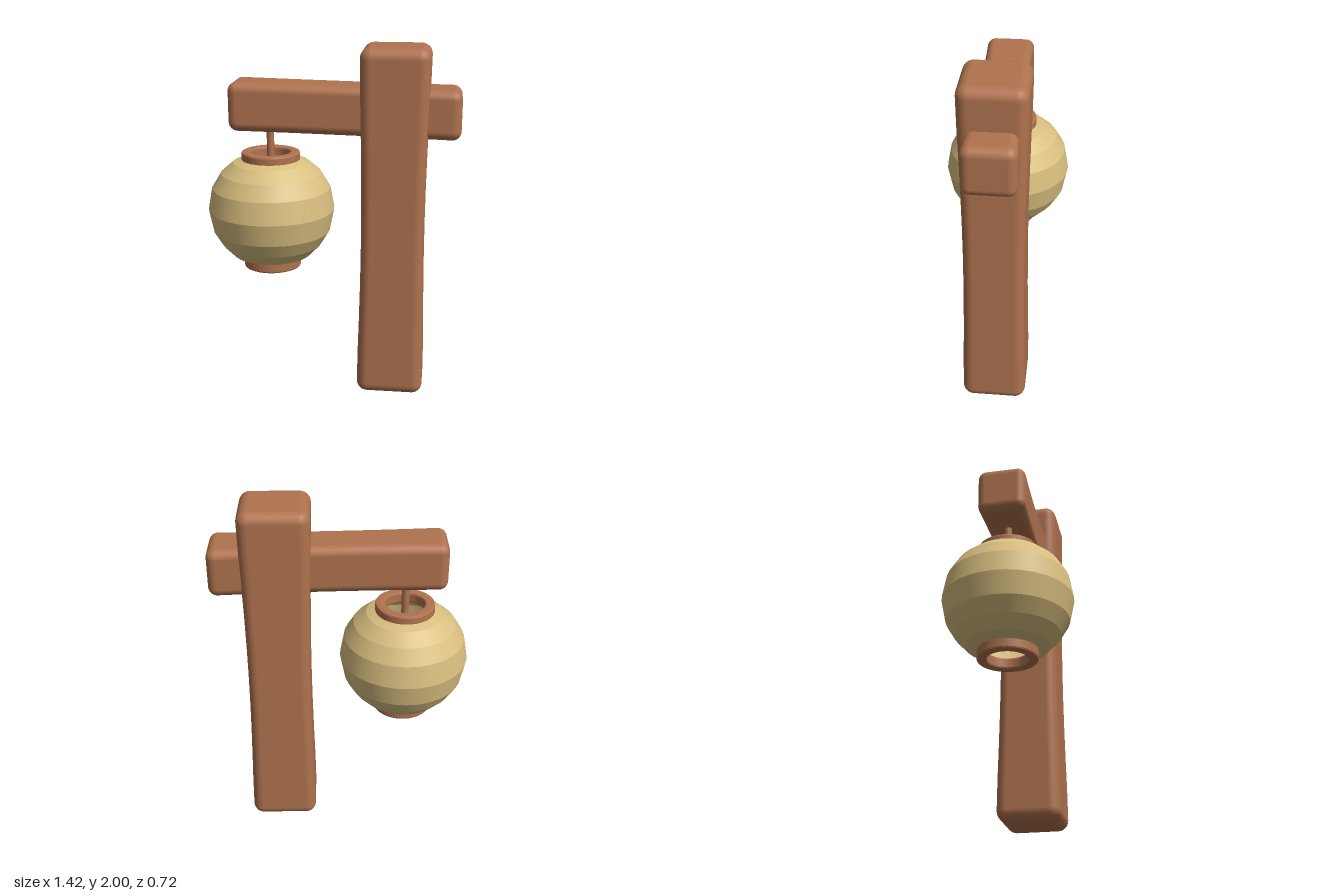
import * as THREE from 'three';
import { mergeGeometries } from 'three/addons/utils/BufferGeometryUtils.js';

const wood = new THREE.MeshStandardMaterial({ color: 0xb0734f });
wood.name = 'warm wood';
const paper = new THREE.MeshStandardMaterial({ color: 0xd9bf80, side: THREE.DoubleSide });
paper.name = 'straw paper';

// Box with rounded edges and enough rows to be bent by a rule afterwards
function softBox(size, segments, radius) {
  const geo = new THREE.BoxGeometry(1, 1, 1, ...segments);
  const pos = geo.attributes.position, nor = geo.attributes.normal;
  const place = (t, length, n) => {
    const i = Math.round((t + 0.5) * n), h = length / 2, e = 3;
    const edge = (k) => -h + radius * (1 - Math.tan((1 - k / e) * Math.PI / 4));
    if (i <= e) return edge(i);
    if (i >= n - e) return -edge(n - i);
    return -h + radius + (length - 2 * radius) * (i - e) / (n - 2 * e);
  };
  const p = new THREE.Vector3(), inner = new THREE.Vector3(), d = new THREE.Vector3();
  const limit = new THREE.Vector3(...size).multiplyScalar(0.5).subScalar(radius);
  const low = limit.clone().negate();
  for (let i = 0; i < pos.count; i++) {
    p.fromBufferAttribute(pos, i);
    p.set(place(p.x, size[0], segments[0]), place(p.y, size[1], segments[1]), place(p.z, size[2], segments[2]));
    inner.copy(p).clamp(low, limit);
    d.subVectors(p, inner).normalize();
    nor.setXYZ(i, d.x, d.y, d.z);
    p.copy(inner).addScaledVector(d, radius);
    pos.setXYZ(i, p.x, p.y, p.z);
  }
  return geo;
}

function bend(geo, rule) {
  const pos = geo.attributes.position, p = new THREE.Vector3();
  for (let i = 0; i < pos.count; i++) {
    rule(p.fromBufferAttribute(pos, i));
    pos.setXYZ(i, p.x, p.y, p.z);
  }
  return geo;
}

export function createModel() {
  const model = new THREE.Group();
  model.name = 'hangingLanternPost';
  const add = (name, geo, material, x, y, z = 0) => {
    const mesh = new THREE.Mesh(geo, material);
    mesh.name = name;
    mesh.position.set(x, y, z);
    model.add(mesh);
    return mesh;
  };

  // Upright post, slightly waisted in the middle
  const post = bend(softBox([0.38, 2, 0.36], [7, 16, 7], 0.06), (p) => {
    const waist = 1 - 0.08 * Math.max(0, Math.cos(p.y * Math.PI / 1.7));
    p.x *= waist;
    p.z *= waist;
  });
  add('post', post, wood, 0.345, 1);

  // Cross beam, pinched near the post and dropping a little to the right
  const beam = bend(softBox([1.275, 0.27, 0.28], [16, 7, 7], 0.05), (p) => {
    const t = p.x / 0.6375;
    p.z *= 0.88 + 0.12 * t * t + 0.03 * t;
    p.y -= 0.012 * t;
  });
  add('crossBeam', beam, wood, 0.0675, 1.652);

  // Rod from the beam into the lantern
  const lanternX = -0.355;
  add('hangingRod', new THREE.CylinderGeometry(0.021, 0.021, 0.34, 10), wood, lanternX, 1.39);

  // Lantern body as stacked bands with a crease between each pair
  const profile = [[0.15, 0.765], [0.225, 0.795], [0.287, 0.86], [0.335, 0.94], [0.36, 1.065],
    [0.337, 1.19], [0.285, 1.275], [0.215, 1.335], [0.15, 1.358]];
  const bands = profile.slice(1).map(([r, y], i) => {
    const [r0, y0] = profile[i];
    return new THREE.CylinderGeometry(r, r0, y - y0, 32, 1, true).translate(0, (y + y0) / 2, 0);
  });
  add('lanternBody', mergeGeometries(bands), paper, lanternX, 0);

  // Open collars above and below the lantern
  const section = new THREE.Shape();
  section.absarc(0, 0, 0.155, 0, Math.PI * 2);
  section.holes.push(new THREE.Path().absarc(0, 0, 0.12, 0, Math.PI * 2, true));
  const collar = new THREE.ExtrudeGeometry(section, {
    depth: 0.045, bevelThickness: 0.01, bevelSize: 0.01, bevelSegments: 2, curveSegments: 28,
  }).rotateX(-Math.PI / 2).translate(0, -0.0225, 0);
  add('topCollar', collar, wood, lanternX, 1.365);
  add('bottomCollar', collar, wood, lanternX, 0.75);

  return model;
}
